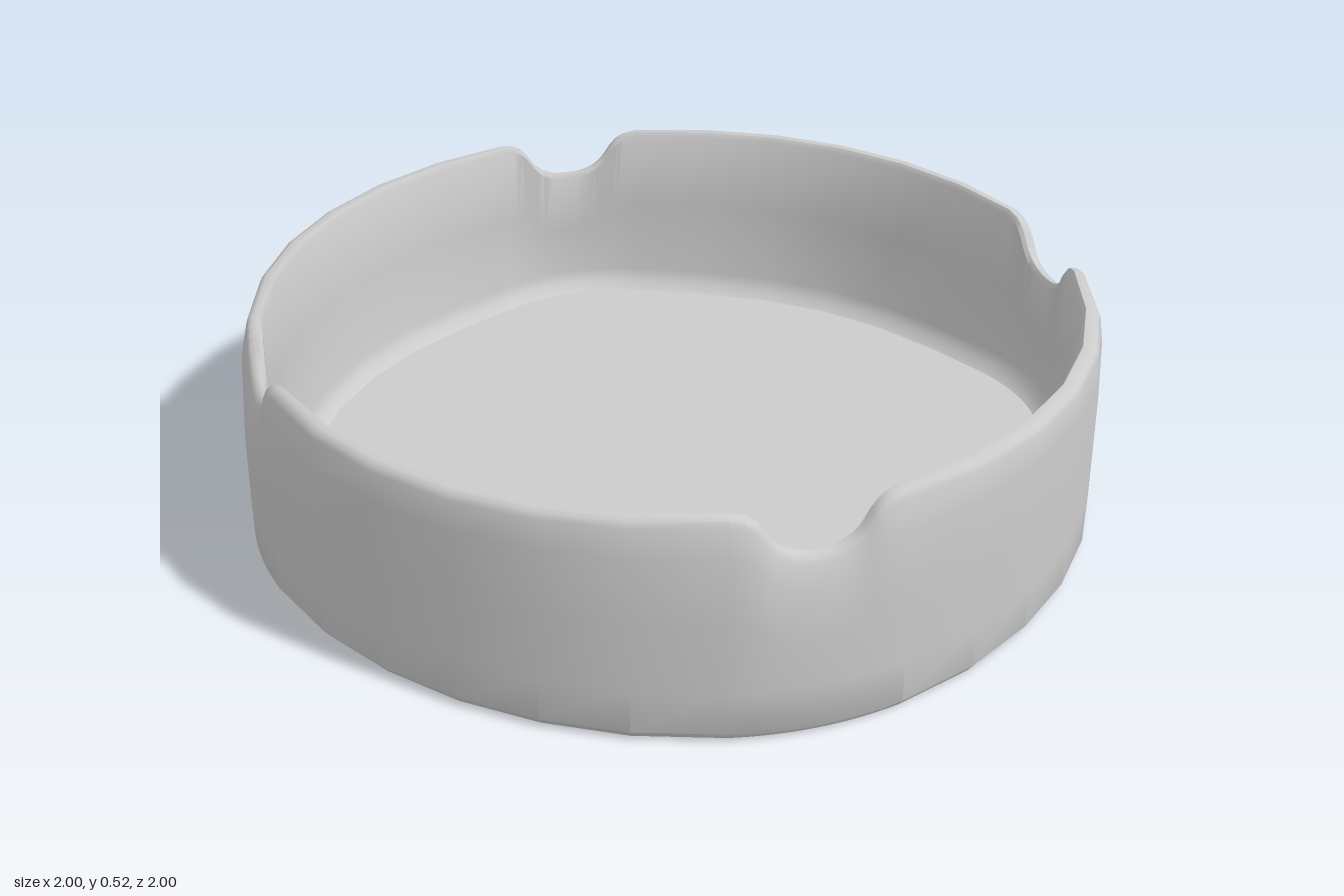
import * as THREE from 'three';
import { toCreasedNormals } from 'three/addons/utils/BufferGeometryUtils.js';

const RIM = 0.52;
const FLOOR = 0.07;

// Notch outline: [sideways distance from notch centre, rim height]
const NOTCH = [
  [0, 0.415], [0.025, 0.416], [0.05, 0.421], [0.075, 0.432], [0.095, 0.448], [0.11, 0.467],
  [0.122, 0.485], [0.138, 0.502], [0.158, 0.513], [0.19, RIM],
];

// One quarter turn of [angle, rim height], running from one notch centre to the next
function quarterStations() {
  const half = NOTCH.map(([d, h]) => [Math.asin(d), h]);
  const plain = [2, 3, 4, 5, 6].map((k) => [(k * Math.PI) / 16, RIM]);
  const mirrored = half.slice(1).reverse().map(([a, h]) => [Math.PI / 2 - a, h]);
  return [...half, ...plain, ...mirrored];
}

// Cross-section [radius, height] of floor and wall at one angle
function section(angle, h) {
  const swell = Math.abs(Math.cos(2 * angle));
  const outer = 0.977 + 0.023 * swell ** 2.5;
  const inner = 0.885 + 0.053 * swell ** 6;
  const lip = 0.972;
  const inLip = 0.928 + 0.01 * swell ** 6;
  const mix = (t) => outer + (lip - outer) * t;
  return [
    [0, 0], [outer - 0.015, 0], [outer, 0.02],
    [outer, 0.12], [mix(0.04), 0.55 * h], [mix(0.35), 0.83 * h],
    [lip, h - 0.02], [lip - 0.006, h - 0.007], [lip - 0.018, h],
    [inLip + 0.008, h], [inLip, h - 0.012],
    [inLip * 0.6 + (inner + 0.012) * 0.4, 0.6 * h], [inner + 0.012, 0.12],
    [inner + 0.004, 0.09], [inner - 0.02, FLOOR], [0, FLOOR],
  ];
}

export function createModel() {
  const group = new THREE.Group();
  const positions = [];
  const index = [];

  // Sweep the section around, four notches in all
  const quarter = quarterStations();
  const total = quarter.length * 4;
  let rows = 0;
  for (let q = 0; q < 4; q++) {
    for (const [a, h] of quarter) {
      const angle = a + (q * Math.PI) / 2;
      const pts = section(angle, h);
      rows = pts.length;
      for (const [r, y] of pts) positions.push(r * Math.sin(angle), y, r * Math.cos(angle));
    }
  }
  for (let i = 0; i < total; i++) {
    const a = i * rows;
    const b = ((i + 1) % total) * rows;
    for (let j = 0; j < rows - 1; j++) {
      if (j > 0) index.push(a + j, b + j, b + j + 1);
      if (j < rows - 2) index.push(a + j, b + j + 1, a + j + 1);
      else index.pop(), index.pop(), index.pop(), index.push(a + j, b + j, b + j + 1);
    }
  }

  const geometry = new THREE.BufferGeometry();
  geometry.setAttribute('position', new THREE.Float32BufferAttribute(positions, 3));
  geometry.setIndex(index);
  const bowl = new THREE.Mesh(
    toCreasedNormals(geometry, 0.65),
    new THREE.MeshStandardMaterial({ color: 0xcccccc }),
  );
  bowl.name = 'notchedBowl';
  group.add(bowl);
  return group;
}
